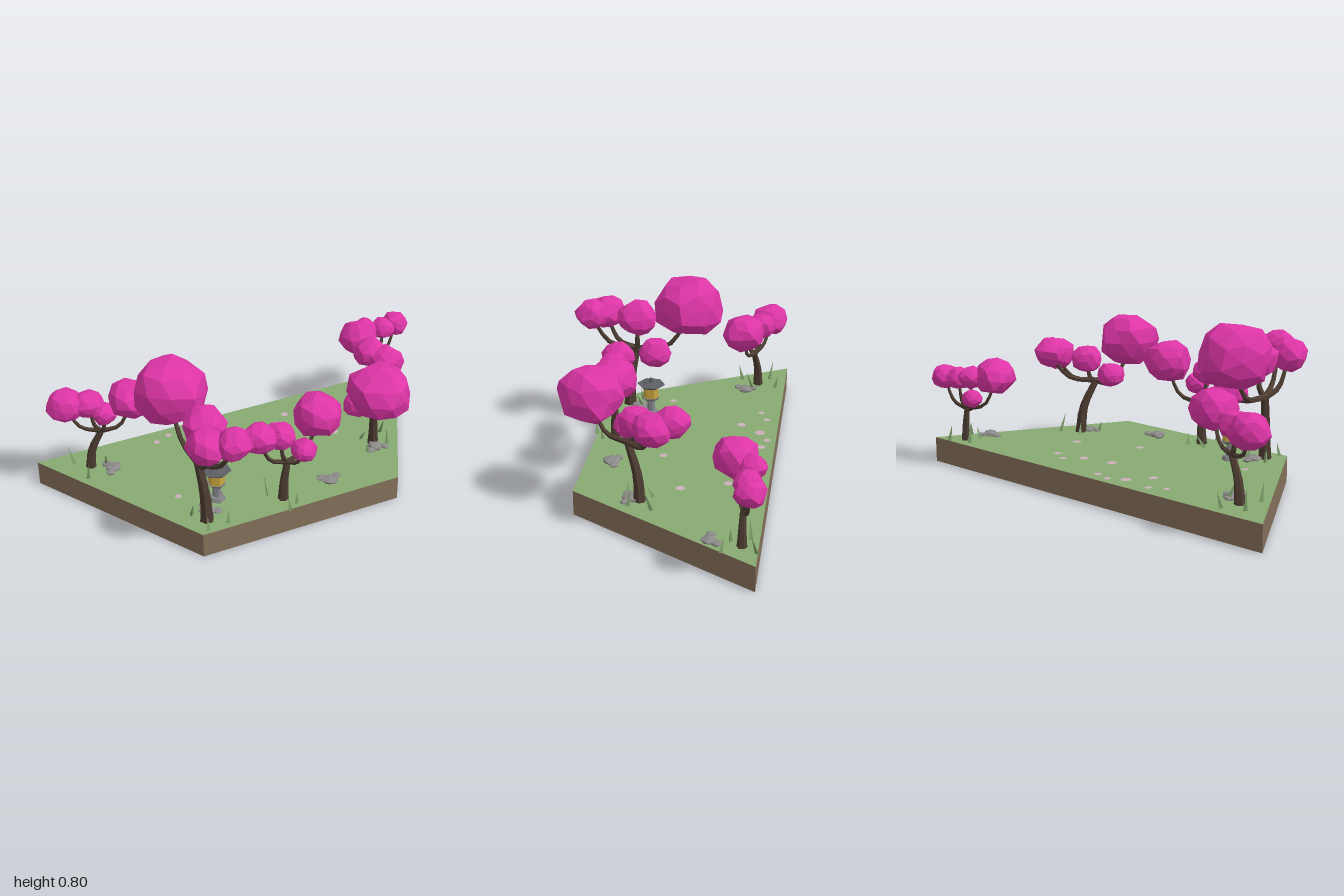
import * as THREE from 'three';

const mat = (name, color, extra = {}) => new THREE.MeshStandardMaterial({ name, color, flatShading: true, ...extra });
const GROUND = 0.12;

export function createModel() {
  const model = new THREE.Group();
  const blossom = mat('blossom pink', 0xdd35a6), bark = mat('dark bark', 0x4c3c31);
  const soil = mat('soil brown', 0x84705a), grass = mat('grass green', 0x87aa70);
  const blade = mat('blade green', 0x7d9f6a, { side: THREE.DoubleSide }), stone = mat('rock grey', 0x8b8a88);
  const lanternStone = mat('lantern grey', 0x85858a), roofGrey = mat('roof grey', 0x5d5e64);
  const glow = mat('lantern yellow', 0xc8a63e), petalPink = mat('petal pink', 0xcbaeba, { side: THREE.DoubleSide });

  let seed = 7;
  const rnd = () => (seed = (seed * 16807) % 2147483647) / 2147483647;
  const add = (parent, name, geometry, material, x = 0, y = 0, z = 0) => {
    const mesh = new THREE.Mesh(geometry, material);
    mesh.name = name;
    mesh.position.set(x, y, z);
    parent.add(mesh);
    return mesh;
  };
  const addGroup = (name) => {
    const group = new THREE.Group();
    group.name = name;
    model.add(group);
    return group;
  };

  // Faceted lump: sphere whose corners move in and out by a position rule
  const lump = (r, squash, detail, rough) => {
    const g = new THREE.IcosahedronGeometry(1, detail), p = g.attributes.position, v = new THREE.Vector3();
    const s = rnd() * 50;
    for (let i = 0; i < p.count; i++) {
      v.fromBufferAttribute(p, i);
      const n = Math.sin(v.x * 5.1 + s) + Math.sin(v.y * 6.3 + s * 1.7) + Math.sin(v.z * 5.7 + s * 2.3);
      v.multiplyScalar(r * (1 + (rough * n) / 3));
      p.setXYZ(i, v.x, v.y, v.z);
    }
    g.rotateX(rnd() * 6).rotateY(rnd() * 6).scale(1, squash, 1);
    g.computeVertexNormals();
    return g;
  };

  // Tapered limb swept along points
  const limb = (points, r0, r1, sides = 6) => {
    const curve = new THREE.CatmullRomCurve3(points), steps = 6;
    const g = new THREE.TubeGeometry(curve, steps, 1, sides, false), p = g.attributes.position;
    const v = new THREE.Vector3();
    for (let i = 0; i < p.count; i++) {
      const t = Math.floor(i / (sides + 1)) / steps, c = curve.getPointAt(t);
      v.fromBufferAttribute(p, i).sub(c).multiplyScalar(r0 + (r1 - r0) * Math.pow(t, 0.7)).add(c);
      p.setXYZ(i, v.x, v.y, v.z);
    }
    return g;
  };

  // Island slab with a grass top
  const outline = new THREE.Shape();
  outline.moveTo(-0.51, -0.37).lineTo(0.49, -0.37).lineTo(0.99, 0.49).lineTo(-1, 0.49);
  add(model, 'soilSlab', new THREE.ExtrudeGeometry(outline, { depth: GROUND, bevelEnabled: false }).rotateX(-Math.PI / 2), soil);
  add(model, 'grassTop', new THREE.ShapeGeometry(outline).rotateX(-Math.PI / 2), grass, 0, GROUND + 0.001, 0);

  // Tree: bent trunk from the ground to a fork, then one branch per foliage clump (x, y, z, radius)
  const plantTree = (name, r, baseX, baseZ, fork, clumps) => {
    const tree = addGroup(name);
    const top = new THREE.Vector3(...fork), base = new THREE.Vector3(baseX, GROUND - 0.01, baseZ);
    const knee = base.clone().lerp(top, 0.2).setY((base.y + top.y) / 2);
    add(tree, 'trunk', limb([base, knee, top], r, r * 0.55), bark);
    for (const [x, y, z, size] of clumps) {
      const tip = new THREE.Vector3(x, y - size * 0.3, z);
      const elbow = top.clone().lerp(tip, 0.6).setY(top.y + (y - size - top.y) * 0.35);
      add(tree, 'branch', limb([top, elbow, tip], r * 0.5, r * 0.25, 5), bark);
      add(tree, 'foliage', lump(size, 0.88, 1, 0.13), blossom, x, y, z);
    }
    // Grass blades around the foot
    for (let i = 0; i < 4; i++) {
      const h = 0.055 + rnd() * 0.05, a = i * 1.57 + rnd(), d = 0.06 + rnd() * 0.04;
      const cone = new THREE.ConeGeometry(0.011, h, 3).translate(0, h / 2, 0);
      const leaf = add(tree, 'grassBlade', cone, blade, baseX + Math.cos(a) * d, GROUND, baseZ + Math.sin(a) * d);
      leaf.rotation.set((rnd() - 0.5) * 0.7, rnd() * 6, (rnd() - 0.5) * 0.7);
    }
  };
  plantTree('backRightTree', 0.026, -0.78, -0.35, [-0.72, 0.32, -0.33],
    [[-0.86, 0.46, -0.4, 0.09], [-0.76, 0.46, -0.36, 0.072], [-0.71, 0.43, -0.3, 0.06], [-0.585, 0.485, -0.285, 0.105]]);
  plantTree('tallTree', 0.034, -0.45, 0.275, [-0.47, 0.42, 0.24],
    [[-0.487, 0.65, -0.02, 0.17], [-0.43, 0.6, 0.23, 0.1], [-0.35, 0.45, 0.13, 0.082], [-0.485, 0.6, 0.39, 0.092], [-0.39, 0.62, 0.45, 0.082]]);
  plantTree('frontTree', 0.027, -0.07, 0.28, [-0.05, 0.32, 0.28],
    [[-0.19, 0.49, 0.28, 0.08], [-0.09, 0.48, 0.29, 0.07], [0.005, 0.4, 0.335, 0.06], [0.12, 0.51, 0.25, 0.115]]);
  plantTree('frontLeftTree', 0.03, 0.53, 0.06, [0.48, 0.38, 0.12],
    [[0.41, 0.57, 0.29, 0.148], [0.39, 0.42, 0.13, 0.068], [0.5, 0.49, 0.08, 0.078], [0.58, 0.54, -0.09, 0.08], [0.62, 0.52, -0.01, 0.088]]);
  plantTree('backLeftTree', 0.024, 0.845, -0.42, [0.83, 0.28, -0.42],
    [[0.68, 0.45, -0.37, 0.1], [0.755, 0.45, -0.45, 0.06], [0.755, 0.345, -0.45, 0.05], [0.86, 0.43, -0.44, 0.062], [0.94, 0.43, -0.455, 0.068]]);

  // Garden lantern, stacked upward from six-sided tiers
  const lantern = addGroup('lantern');
  lantern.position.set(-0.345, GROUND, 0.15);
  let level = 0;
  const tier = (name, bottom, top, height, material) => {
    add(lantern, name, new THREE.CylinderGeometry(top, bottom, height, 6), material, 0, level + height / 2, 0);
    level += height;
  };
  tier('foot', 0.042, 0.035, 0.02, lanternStone);
  tier('post', 0.02, 0.018, 0.06, lanternStone);
  tier('tray', 0.036, 0.043, 0.014, lanternStone);
  tier('lightBox', 0.038, 0.038, 0.056, glow);
  tier('roof', 0.052, 0.07, 0.014, roofGrey);
  tier('roofCap', 0.045, 0.022, 0.01, roofGrey);
  tier('finial', 0.012, 0.01, 0.018, roofGrey);

  // Rocks in small piles
  const rockPile = (x, z) => {
    for (let i = 0; i < 3; i++) {
      const a = i * 2.1 + x * 9, d = i ? 0.045 : 0;
      add(model, 'rock', lump(i ? 0.024 : 0.042, 0.45, 0, 0.2), stone, x + Math.cos(a) * d, GROUND + 0.006, z + Math.sin(a) * d);
    }
  };
  rockPile(-0.69, -0.29);
  rockPile(-0.42, 0.22);
  rockPile(0.19, 0.25);
  rockPile(0.52, 0.1);
  rockPile(0.82, -0.28);

  // Fallen petals scattered over the clearing
  for (let i = 0; i < 13; i++) {
    const disc = new THREE.CircleGeometry(0.015 + rnd() * 0.012, 6).rotateX(-Math.PI / 2);
    const petal = add(model, 'petal', disc, petalPink, -0.5 + i * 0.075, GROUND + 0.004, -0.45 + rnd() * (i % 4 ? 0.25 : 0.55));
    petal.rotation.y = rnd() * 6;
  }
  return model;
}
